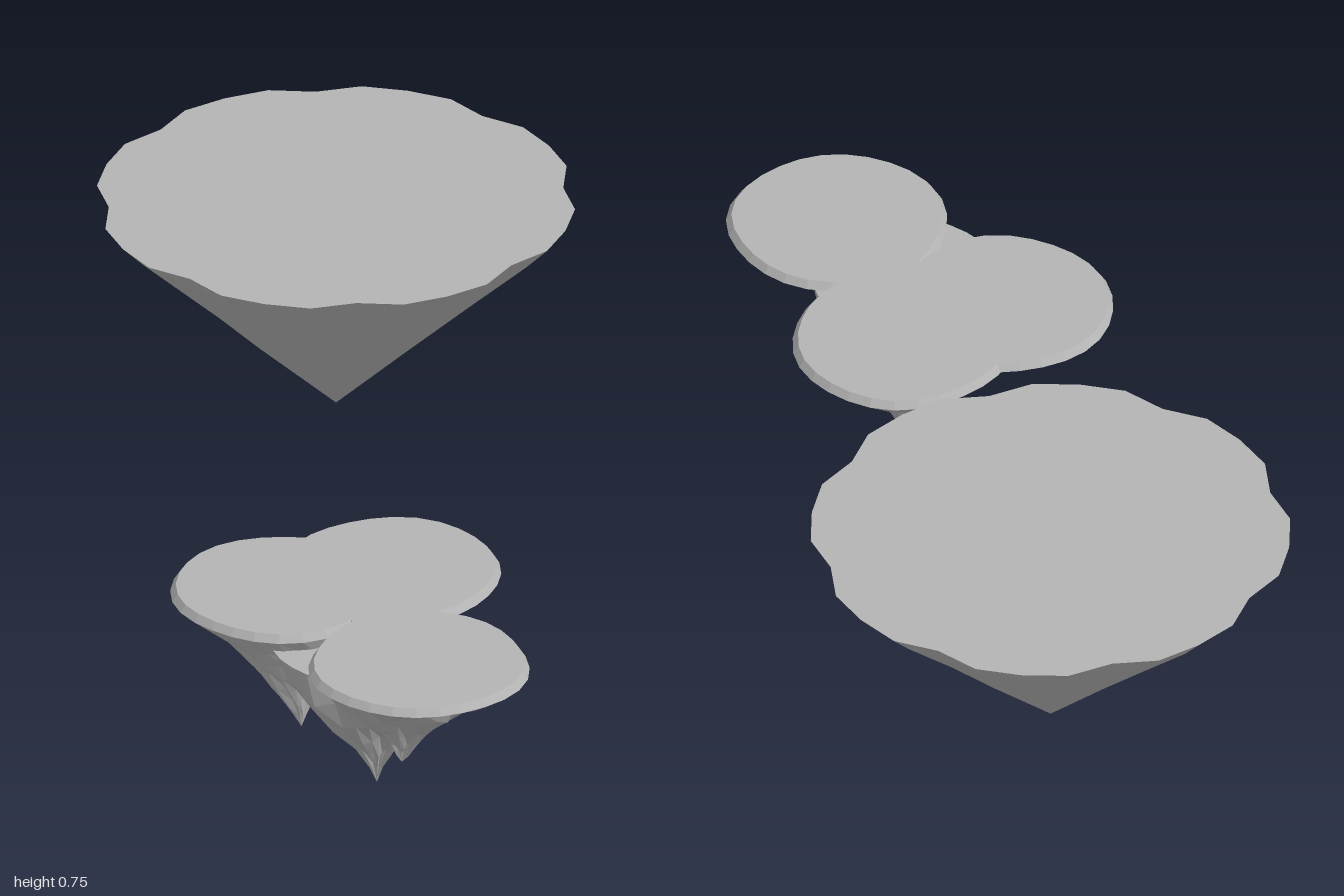
import * as THREE from 'three';

const stone = new THREE.MeshStandardMaterial({ color: 0xb4b4b4, flatShading: true });
stone.name = 'grey stone';

// Repeatable noise in -1..1
function noise(i, j, seed) {
  const s = Math.sin(i * 12.99 + j * 78.23 + seed * 37.7) * 43758.55;
  return 2 * (s - Math.floor(s)) - 1;
}

// Skin a stack of rings, top first, with a flat cap; the last ring closes to a point.
function loft(rings, segments, pointAt) {
  const pos = [], index = [];
  for (let i = 0; i < rings; i++)
    for (let j = 0; j < segments; j++) pos.push(...pointAt(i, j, (j / segments) * Math.PI * 2));
  for (let i = 0; i < rings - 1; i++) {
    for (let j = 0; j < segments; j++) {
      const k = (j + 1) % segments;
      const a = i * segments + j, b = i * segments + k;
      const c = a + segments, d = b + segments;
      index.push(a, b, c);
      if (i < rings - 2) index.push(b, d, c);
    }
  }
  for (let j = 1; j < segments - 1; j++) index.push(0, j + 1, j);
  const indexed = new THREE.BufferGeometry();
  indexed.setAttribute('position', new THREE.Float32BufferAttribute(pos, 3));
  indexed.setIndex(index);
  const geometry = indexed.toNonIndexed();
  geometry.computeVertexNormals();
  return geometry;
}

function addMesh(group, name, geometry) {
  const mesh = new THREE.Mesh(geometry, stone);
  mesh.name = name;
  group.add(mesh);
  return mesh;
}

// Large island: scalloped disc of eight lobes, tapering straight to a point
function largeIsland() {
  const heights = [0.745, 0.69, 0.55, 0.4, 0.26, 0.215];
  const scales = [1, 0.9, 0.635, 0.35, 0.085, 0];
  return loft(heights.length, 32, (i, j, a) => {
    const wobble = i > 0 ? 1 + 0.012 * noise(i, j, 3) : 1;
    const r = (j % 4 === 0 ? 0.522 : 0.55) * scales[i] * wobble;
    return [0.428 + r * Math.cos(a), heights[i], -0.46 + r * Math.sin(a)];
  });
}

// Craggy lobe: rim circle narrowing to an off-centre spike.
// profile rows: [depth 0..1, width 0..1]
const LOBE = [[0.18, 0.7], [0.32, 0.53], [0.46, 0.38], [0.6, 0.25], [0.76, 0.14], [0.88, 0.06], [1, 0]];
const ROOT = [[0.25, 0.8], [0.45, 0.58], [0.6, 0.38], [0.74, 0.21], [0.87, 0.08], [1, 0]];

function lobe({ x, z, r, top, tip, seed, profile = LOBE, lip = true }) {
  const head = lip ? [[0, 0.95, top], [0, 1, top - 0.018]] : [[0, 1, top]];
  const base = top - (lip ? 0.018 : 0);
  const rows = head.concat(profile.map(([d, w]) => [d, w, base + (tip[1] - base) * d]));
  return loft(rows.length, 28, (i, j, a) => {
    const [depth, width, y] = rows[i];
    const outline = r * (1 + 0.012 * Math.sin(3 * a + seed) + 0.01 * Math.sin(5 * a + 2 * seed));
    const rx = x + outline * Math.cos(a), rz = z + outline * Math.sin(a);
    if (i < head.length) {
      const s = i === 0 && lip ? 0.95 : 1;
      return [x + (rx - x) * s, y, z + (rz - z) * s];
    }
    // Ridges and cracks on the underside
    const ridge = 1 + 0.1 * depth * Math.sin(6 * a + seed + i) + 0.09 * noise(i, j >> 1, seed);
    const w = width * ridge;
    const dy = depth < 1 ? 0.01 * noise(j, i, seed + 5) : 0;
    return [tip[0] + (rx - tip[0]) * w, y + dy, tip[2] + (rz - tip[2]) * w];
  });
}

export function createModel() {
  const model = new THREE.Group();
  model.name = 'floatingIslands';

  addMesh(model, 'largeIsland', largeIsland());

  const small = new THREE.Group();
  small.name = 'smallIsland';
  model.add(small);
  const top = 0.42;
  addMesh(small, 'backLobe', lobe({ x: -0.64, z: 0.268, r: 0.253, top, tip: [-0.75, 0.15, 0.42], seed: 1 }));
  addMesh(small, 'sideLobe', lobe({ x: -0.408, z: 0.402, r: 0.253, top, tip: [-0.455, 0.09, 0.41], seed: 2 }));
  addMesh(small, 'frontLobe', lobe({ x: -0.722, z: 0.746, r: 0.253, top, tip: [-0.745, 0.155, 0.715], seed: 4 }));
  // Deep central root that carries the longest spike
  addMesh(small, 'centralRoot', lobe({
    x: -0.665, z: 0.54, r: 0.215, top: 0.375, tip: [-0.63, 0, 0.545], seed: 7, profile: ROOT, lip: false,
  }));
  // Fills the ground where the three lobes meet
  const infill = addMesh(small, 'groundInfill', new THREE.CylinderGeometry(0.06, 0.06, 0.08, 12));
  infill.position.set(-0.62, top - 0.04, 0.53);

  return model;
}
